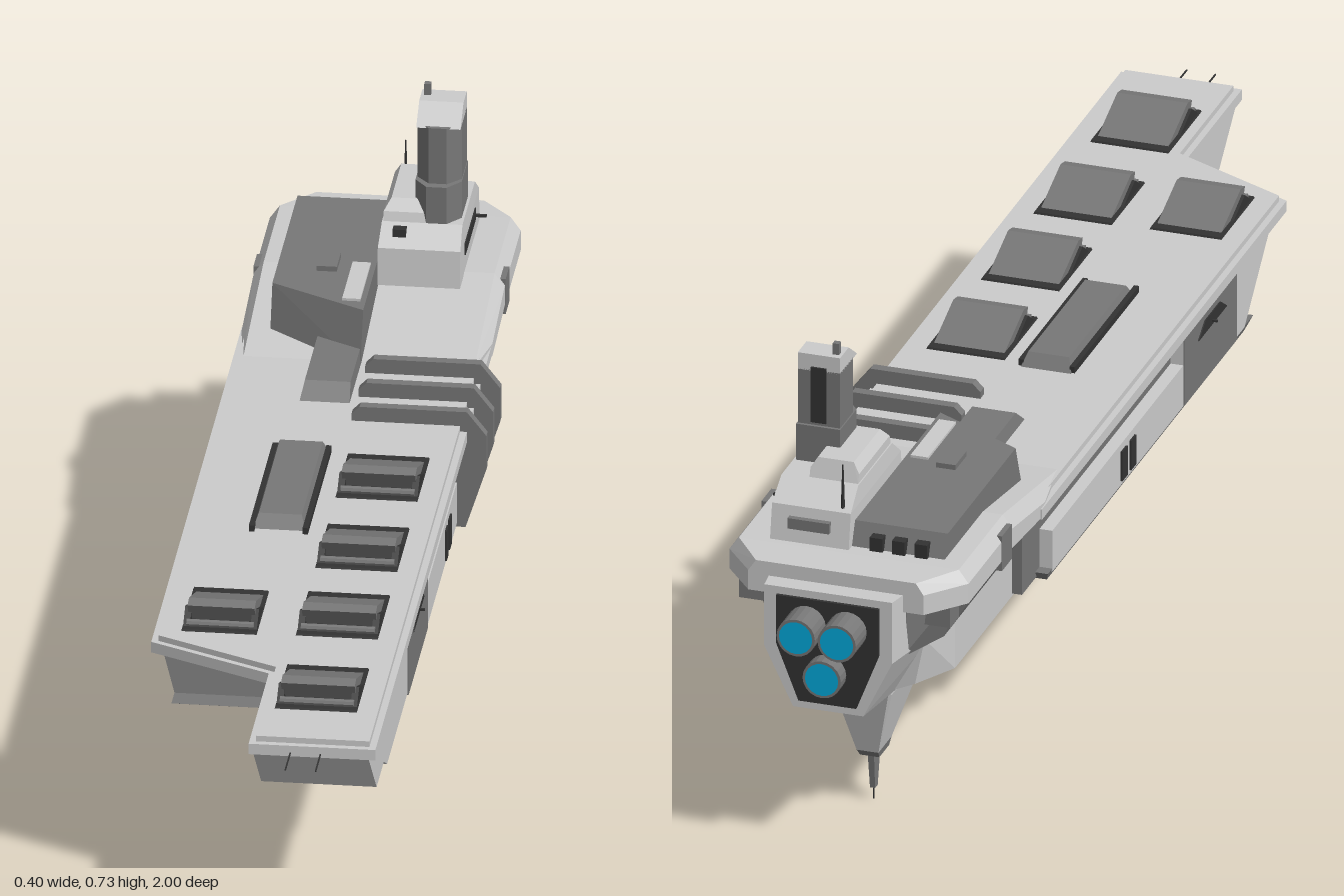
import * as THREE from 'three';
import { ConvexGeometry } from 'three/addons/geometries/ConvexGeometry.js';

const grey = new THREE.MeshStandardMaterial({ color: 0xcccccc, flatShading: true });
const dark = new THREE.MeshStandardMaterial({ color: 0x777777, flatShading: true });
const black = new THREE.MeshStandardMaterial({ color: 0x333333, flatShading: true });
const glow = new THREE.MeshStandardMaterial({ color: 0x00aadd });
const CX = -0.014; // hull axis

export function createModel() {
  const ship = new THREE.Group();
  ship.name = 'carrierShip';

  const add = (name, geo, mat = grey) => {
    const m = new THREE.Mesh(geo, mat);
    m.name = name;
    ship.add(m);
    return m;
  };
  // Box from its limits
  const box = (name, x0, x1, y0, y1, z0, z1, mat) => {
    const g = new THREE.BoxGeometry(x1 - x0, y1 - y0, Math.abs(z1 - z0));
    g.translate((x0 + x1) / 2, (y0 + y1) / 2, (z0 + z1) / 2);
    return add(name, g, mat);
  };
  // Convex block from rectangles [x0, x1, z0, z1, y]
  const block = (name, rects, mat) => {
    const p = [];
    for (const [x0, x1, z0, z1, y] of rects)
      for (const x of [x0, x1]) for (const z of [z0, z1]) p.push(new THREE.Vector3(x, y, z));
    return add(name, new ConvexGeometry(p), mat);
  };
  // Convex block from cross-sections: [z, [halfWidth, y], ...] about the hull axis
  const sections = (name, list, mat) => {
    const p = [];
    for (const [z, ...pts] of list)
      for (const [w, y] of pts) p.push(new THREE.Vector3(CX - w, y, z), new THREE.Vector3(CX + w, y, z));
    return add(name, new ConvexGeometry(p), mat);
  };
  const extrude = (pts, depth) => new THREE.ExtrudeGeometry(
    new THREE.Shape(pts.map(([a, b]) => new THREE.Vector2(a, b))), { depth, bevelEnabled: false });
  // Plan outline [x, z] raised from y0 to y1
  const plan = (name, pts, y0, y1, mat) =>
    add(name, extrude(pts.map(([x, z]) => [x, -z]), y1 - y0).rotateX(-Math.PI / 2).translate(0, y0, 0), mat);
  // Side outline [z, y] spanning x0 to x1
  const side = (name, pts, x0, x1, mat) =>
    add(name, extrude(pts.map(([z, y]) => [-z, y]), x1 - x0).rotateY(Math.PI / 2).translate(x0, 0, 0), mat);

  // Flight deck, longer on one side at the bow
  plan('flightDeck', [[-0.203, -0.52], [-0.203, 0.6], [-0.017, 0.69], [-0.017, 0.94], [0.172, 0.94], [0.172, -0.52]], 0.388, 0.405);
  plan('deckTop', [[-0.193, -0.52], [-0.193, 0.595], [-0.007, 0.685], [-0.007, 0.93], [0.162, 0.93], [0.162, -0.52]], 0.405, 0.414);

  // Raised after deck
  const W = 0.187, I = 0.172;
  sections('deckRamp', [
    [-0.4, [I, 0.4], [I, 0.414]],
    [-0.5, [W, 0.388], [W, 0.408], [I, 0.427]],
    [-0.65, [W, 0.4], [W, 0.432], [I, 0.453]]]);
  sections('afterDeck', [
    [-0.65, [W, 0.4], [W, 0.432], [I, 0.453]],
    [-0.85, [W, 0.4], [W, 0.432], [I, 0.453]],
    [-0.91, [0.137, 0.4], [0.137, 0.432], [0.125, 0.45]]]);
  for (const s of [-1, 1]) {
    const x = CX + s * 0.175;
    box('deckSponson', x - 0.013, x + 0.013, 0.385, 0.442, -0.7, -0.655, dark);
    box('sternPod', CX + s * 0.145 - 0.02, CX + s * 0.145 + 0.02, 0.365, 0.41, -0.87, -0.83, dark);
  }

  // Forward hull
  side('longBow', [[0.92, 0.39], [0.8, 0.28], [0.71, 0.28], [0.67, 0.258], [0.18, 0.258], [0.18, 0.39]], -0.015, 0.157);
  side('shortBow', [[0.6, 0.39], [0.46, 0.258], [0.18, 0.258], [0.18, 0.39]], -0.185, -0.015);

  // Middle hull with lower side bands
  box('middleHull', -0.165, 0.137, 0.25, 0.39, -0.5, 0.18, dark);
  box('lowerHullBand', -0.185, 0.157, 0.255, 0.322, -0.42, 0.18);
  for (const s of [-1, 1]) {
    const x = CX + s * 0.171;
    box('sidePanel', x - 0.002, x + 0.002, 0.256, 0.387, 0.18, 0.42, dark);
    side('sideSlot', [[0.37, 0.335], [0.24, 0.335], [0.27, 0.355], [0.34, 0.355]], x - 0.004, x + 0.004, black);
    box('sideBarrel', x - 0.012, x + 0.012, 0.34, 0.343, 0.3, 0.304, black);
    for (const z of [-0.055, -0.095]) box('sideVent', x - 0.003, x + 0.003, 0.262, 0.31, z - 0.012, z + 0.012, black);
  }

  // Ribs wrapping over the deck edge
  for (const z of [-0.2, -0.285, -0.37]) {
    const rib = [[0, 0.41], [0, 0.425], [0.012, 0.437], [0.172, 0.437], [0.201, 0.4], [0.201, 0.345], [0.17, 0.25], [0.12, 0.25], [0.12, 0.41]];
    add('hullRib', extrude(rib, 0.016).translate(0, 0, z - 0.008), dark);
  }

  // Belly plate, doors and keel
  block('bellyPlate', [[-0.185, 0.157, -0.44, 0.5, 0.26], [-0.18, 0.152, -0.43, 0.47, 0.246]], dark);
  for (const z of [0.33, 0.1, -0.13, -0.34])
    for (const s of [-1, 1]) {
      const x = CX + s * 0.08;
      block('bellyDoor', [[x - 0.065, x + 0.065, z - 0.09, z + 0.09, 0.25], [x - 0.06, x + 0.06, z - 0.075, z + 0.075, 0.236]], black);
    }
  box('keelBeam', -0.034, 0.006, 0.234, 0.255, -0.5, 0.5, dark);
  block('keelPod', [[-0.06, 0.033, 0.22, 0.39, 0.24], [-0.034, 0.006, 0.26, 0.34, 0.205]], dark);

  // After hull: overhanging shoulder, lower body and stern
  sections('hullShoulder', [
    [-0.44, [0.172, 0.395], [0.135, 0.32]],
    [-0.81, [0.172, 0.42], [0.135, 0.32]],
    [-0.9, [0.11, 0.42], [0.1, 0.32]]], dark);
  sections('lowerAfterHull', [
    [-0.42, [0.13, 0.325], [0.12, 0.3]],
    [-0.47, [0.135, 0.325], [0.135, 0.245], [0.045, 0.207]],
    [-0.76, [0.135, 0.325], [0.135, 0.245], [0.045, 0.207]],
    [-0.84, [0.115, 0.325], [0.1, 0.25], [0.045, 0.225]]]);
  sections('sternBlock', [
    [-0.8, [0.12, 0.42], [0.12, 0.32], [0.07, 0.23]],
    [-0.945, [0.1, 0.43], [0.1, 0.33], [0.055, 0.237]]]);
  sections('sternFace', [
    [-0.94, [0.08, 0.418], [0.08, 0.34], [0.045, 0.25]],
    [-0.95, [0.08, 0.418], [0.08, 0.34], [0.045, 0.25]]], black);

  // Engines
  for (const [x, y, z] of [[-0.046, 0.377, -1], [0.018, 0.377, -1], [CX, 0.302, -0.975]]) {
    const len = z + 0.92;
    add('engineNozzle', new THREE.CylinderGeometry(0.03, 0.03, -len, 20).rotateX(Math.PI / 2).translate(x, y, z - len / 2), dark);
    add('engineGlow', new THREE.CircleGeometry(0.026, 20).rotateY(Math.PI).translate(x, y, z - 0.0005), glow);
  }

  // Belly fin with needle
  block('bellyFin', [[-0.06, 0.032, -0.8, -0.62, 0.215], [-0.06, 0.032, -0.79, -0.63, 0.2], [-0.031, 0.003, -0.765, -0.705, 0.09]]);
  block('finTip', [[-0.031, 0.003, -0.765, -0.705, 0.09], [-0.029, 0.001, -0.755, -0.71, 0.078]], dark);
  block('finMast', [[-0.019, -0.009, -0.75, -0.72, 0.08], [-0.018, -0.01, -0.742, -0.73, 0.02]], dark);
  box('finNeedle', -0.015, -0.013, 0, 0.08, -0.737, -0.735, black);

  // Tilted launch hatches, open toward the bow
  const hatch = (x, w, z) => {
    const h = w / 2;
    block('hatchFrame', [[x - h - 0.007, x + h + 0.007, z - 0.077, z + 0.077, 0.412], [x - h - 0.005, x + h + 0.005, z - 0.075, z + 0.075, 0.417]], black);
    side('hatchLid', [[z - 0.07, 0.413], [z + 0.03, 0.448], [z + 0.05, 0.444], [z + 0.035, 0.413]], x - h, x + h, dark);
    for (const s of [-1, 1])
      side('hatchArm', [[z - 0.03, 0.412], [z + 0.035, 0.437], [z + 0.065, 0.416], [z + 0.065, 0.412]], x + s * h - 0.005, x + s * h + 0.005, black);
    add('hatchRoller', new THREE.CylinderGeometry(0.006, 0.006, w, 8).rotateZ(Math.PI / 2).translate(x, 0.421, z + 0.06), dark);
  };
  for (const z of [0.005, 0.255, 0.495, 0.755]) hatch(0.07, 0.11, z);
  hatch(-0.105, 0.1, 0.5);

  // Long deck elevator housing
  block('elevatorHousing', [[-0.1, -0.02, -0.085, 0.205, 0.412], [-0.092, -0.028, -0.07, 0.19, 0.434]], dark);
  for (const x of [-0.1, -0.02]) box('elevatorRail', x - 0.004, x + 0.004, 0.412, 0.424, -0.08, 0.215, black);

  // Hangar block beside the bridge
  block('hangarStep', [[-0.085, -0.01, -0.5, -0.25, 0.412], [-0.08, -0.012, -0.5, -0.28, 0.436]], dark);
  const hangar = [[-0.155, -0.47, -0.5], [-0.01, -0.385, -0.42]].flatMap(([x, z0, z1]) => [
    new THREE.Vector3(x, 0.412, z0), new THREE.Vector3(x, 0.489, z1),
    new THREE.Vector3(x, 0.44, -0.83), new THREE.Vector3(x, 0.489, -0.81)]);
  add('hangarBlock', new ConvexGeometry(hangar), dark);
  box('hangarRoofHatch', -0.095, -0.065, 0.485, 0.497, -0.6, -0.55, dark);
  box('hangarRoofRail', -0.045, -0.018, 0.485, 0.493, -0.58, -0.45, grey);
  for (const x of [-0.12, -0.085, -0.05]) box('hangarVent', x - 0.01, x + 0.01, 0.447, 0.475, -0.832, -0.81, black);

  // Bridge
  block('bridgeBase', [[-0.01, 0.113, -0.84, -0.595, 0.45], [-0.01, 0.113, -0.83, -0.6, 0.508], [-0.008, 0.112, -0.79, -0.635, 0.536]]);
  box('bridgeWindow', 0.02, 0.085, 0.475, 0.492, -0.842, -0.6, dark);
  box('bridgeSideWindow', 0.1, 0.115, 0.48, 0.498, -0.78, -0.65, black);
  block('bridgeCabin', [[-0.006, 0.07, -0.785, -0.635, 0.535], [-0.006, 0.07, -0.78, -0.64, 0.55], [0.004, 0.06, -0.775, -0.655, 0.566]]);
  box('cabinWindow', 0.01, 0.03, 0.517, 0.532, -0.64, -0.615, black);
  box('bridgeBarrel', 0.11, 0.132, 0.489, 0.493, -0.77, -0.766, black);

  // Tower with a faceted nose
  plan('towerBase', [[0.039, -0.735], [0.039, -0.66], [0.058, -0.635], [0.088, -0.635], [0.108, -0.66], [0.108, -0.735]], 0.535, 0.595, dark);
  plan('tower', [[0.041, -0.73], [0.041, -0.67], [0.06, -0.648], [0.087, -0.648], [0.107, -0.67], [0.107, -0.73]], 0.595, 0.685, dark);
  block('towerCap', [[0.041, 0.107, -0.73, -0.652, 0.683], [0.041, 0.107, -0.73, -0.69, 0.71]]);
  box('towerSlot', 0.062, 0.086, 0.6, 0.69, -0.733, -0.72, black);
  box('towerMast', 0.046, 0.056, 0.7, 0.728, -0.72, -0.71, dark);

  // Antennas
  add('sternAntenna', new THREE.CylinderGeometry(0.001, 0.005, 0.13, 6).translate(0.005, 0.518, -0.822), black);
  for (const x of [0.045, 0.09]) box('bowAntenna', x - 0.001, x + 0.001, 0.392, 0.394, 0.92, 1, black);

  return ship;
}
